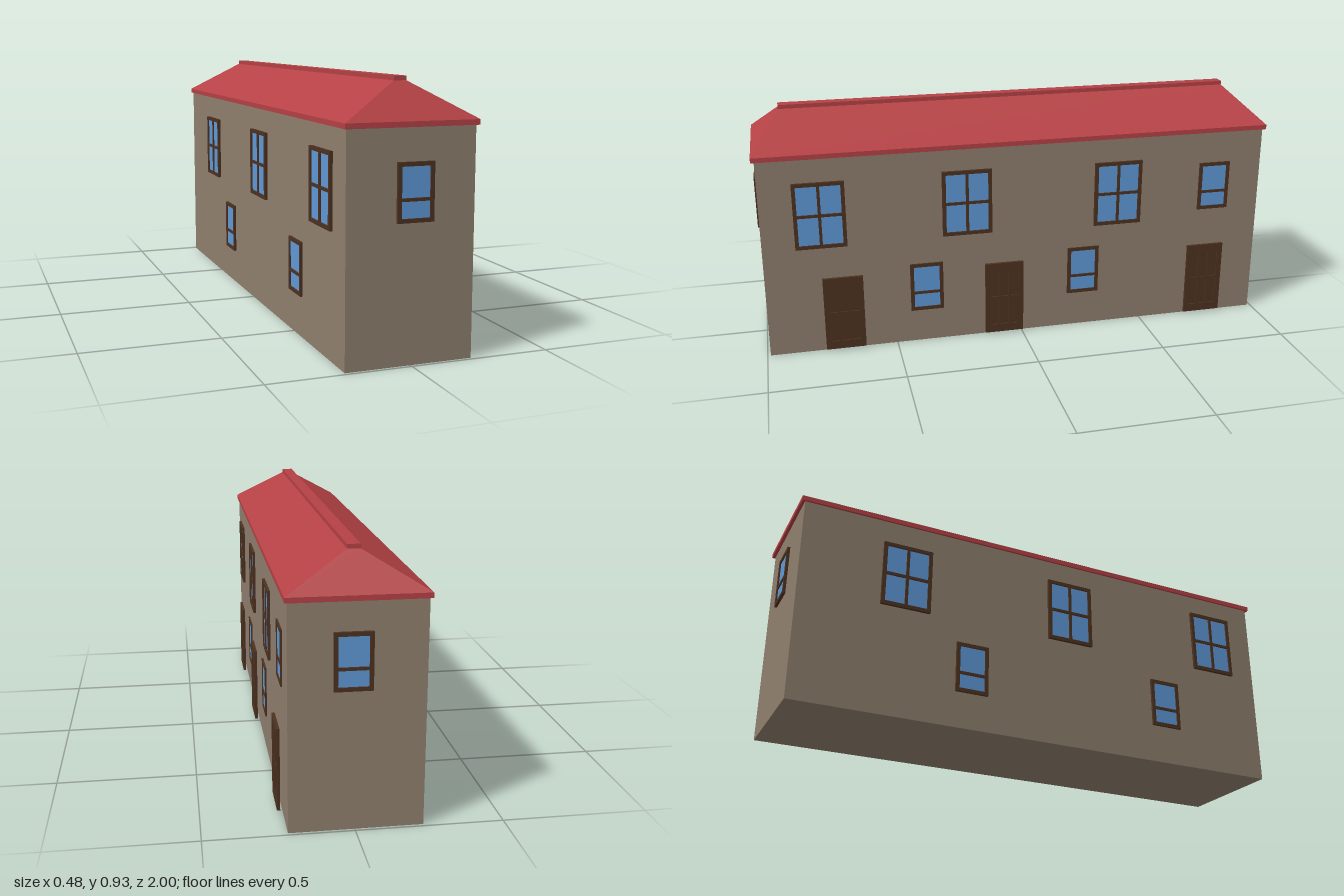
import * as THREE from 'three';

const mat = (color) => new THREE.MeshStandardMaterial({ color, flatShading: true });
const wallMat = mat(0x8f7f6e);
const roofMat = mat(0xb54145);
const woodMat = mat(0x4d3220);
const glassMat = mat(0x5f98d6);

const CX = -0.005; // the house sits slightly off the centre line

function add(parent, name, geometry, material, x = 0, y = 0, z = 0) {
  const mesh = new THREE.Mesh(geometry, material);
  mesh.name = name;
  mesh.position.set(x, y, z);
  parent.add(mesh);
  return mesh;
}

// Flat panel centred on the origin, with rectangular holes [x0, y0, x1, y1]
function panel(w, h, depth, holes) {
  const rect = (Type, x0, y0, x1, y1) => new Type([[x0, y0], [x1, y0], [x1, y1], [x0, y1]]
    .map(([x, y]) => new THREE.Vector2(x, y)));
  const shape = rect(THREE.Shape, -w / 2, -h / 2, w / 2, h / 2);
  shape.holes = holes.map((r) => rect(THREE.Path, ...r));
  return new THREE.ExtrudeGeometry(shape, { depth, bevelEnabled: false });
}

// Grid of holes between the given column and row limits, leaving bars between them
function gridHoles(cols, rows, bar) {
  const holes = [];
  for (let i = 0; i < cols.length - 1; i++) {
    for (let j = 0; j < rows.length - 1; j++) {
      holes.push([
        cols[i] + (i ? bar / 2 : 0), rows[j] + (j ? bar / 2 : 0),
        cols[i + 1] - (i < cols.length - 2 ? bar / 2 : 0),
        rows[j + 1] - (j < rows.length - 2 ? bar / 2 : 0),
      ]);
    }
  }
  return holes;
}

// Window facing +z: a large one has four panes, a small one has a low crossbar
function makeWindow(large, depth) {
  const group = new THREE.Group();
  group.name = large ? 'largeWindow' : 'smallWindow';
  const [w, h] = large ? [0.192, 0.258] : [0.128, 0.195];
  const edge = 0.014;
  const x = w / 2 - edge;
  const y = h / 2 - edge;
  const cols = large ? [-x, 0, x] : [-x, x];
  const rows = [-y, large ? 0 : -0.023, y];
  add(group, 'windowFrame', panel(w, h, depth + 0.005, gridHoles(cols, rows, 0.011)), woodMat, 0, 0, -0.005);
  add(group, 'glass', new THREE.BoxGeometry(2 * x + 0.004, 2 * y + 0.004, 0.006), glassMat, 0, 0, depth * 0.5 - 0.003);
  return group;
}

// Door facing +z: a slab with a raised lattice of rails around sunken panels
function makeDoor() {
  const group = new THREE.Group();
  group.name = 'door';
  const [w, h] = [0.152, 0.295];
  add(group, 'doorSlab', new THREE.BoxGeometry(w, h, 0.006), woodMat, 0, 0, 0.003);
  const cols = [-0.055, -0.02, 0.02, 0.055];
  const rows = [-0.115, 0, 0.115];
  add(group, 'doorRails', panel(w, h, 0.005, gridHoles(cols, rows, 0.011)), woodMat, 0, 0, 0.006);
  return group;
}

// Hipped roof: a rectangle at the eaves narrowing to a flat strip at the ridge
function hipRoof(w, l, topW, topL, h) {
  const geometry = new THREE.BoxGeometry(w, h, l);
  const p = geometry.attributes.position;
  for (let i = 0; i < p.count; i++) {
    if (p.getY(i) > 0) p.setXYZ(i, Math.sign(p.getX(i)) * topW / 2, h / 2, Math.sign(p.getZ(i)) * topL / 2);
  }
  geometry.computeVertexNormals();
  return geometry;
}

export function createModel() {
  const house = new THREE.Group();
  house.name = 'house';

  add(house, 'walls', new THREE.BoxGeometry(0.45, 0.776, 1.976), wallMat, CX, 0.388, 0);

  // Roof
  add(house, 'eaves', new THREE.BoxGeometry(0.466, 0.018, 2), roofMat, CX, 0.784, 0);
  add(house, 'roof', hipRoof(0.466, 2, 0.044, 1.78, 0.122), roofMat, CX, 0.854, 0);
  add(house, 'ridgeCap', new THREE.BoxGeometry(0.044, 0.017, 1.78), roofMat, CX, 0.9215, 0);

  const place = (part, x, y, z, turn) => {
    part.position.set(x, y, z);
    part.rotation.y = turn;
    house.add(part);
  };
  const quarter = Math.PI / 2;

  // Left side (+x): [z, y, large]
  const leftWindows = [
    [0.77, 0.556, true], [0.215, 0.562, true], [-0.388, 0.553, true],
    [-0.792, 0.553, false], [0.378, 0.229, false], [-0.252, 0.238, false],
  ];
  for (const [z, y, large] of leftWindows) {
    place(makeWindow(large, large ? 0.01 : 0.006), 0.22, y, z, quarter);
  }
  for (const z of [0.7, 0.073, -0.768]) place(makeDoor(), 0.229, 0.157, z, quarter);

  // Right side (-x)
  const rightWindows = [
    [-0.585, 0.554, true], [0.1, 0.56, true], [0.782, 0.566, true],
    [-0.315, 0.236, false], [0.53, 0.247, false],
  ];
  for (const [z, y, large] of rightWindows) {
    place(makeWindow(large, large ? 0.011 : 0.009), -0.23, y, z, -quarter);
  }

  // Gable ends
  place(makeWindow(false, 0.01), 0.007, 0.568, 0.988, 0);
  place(makeWindow(false, 0.01), 0.01, 0.578, -0.988, Math.PI);

  return house;
}
